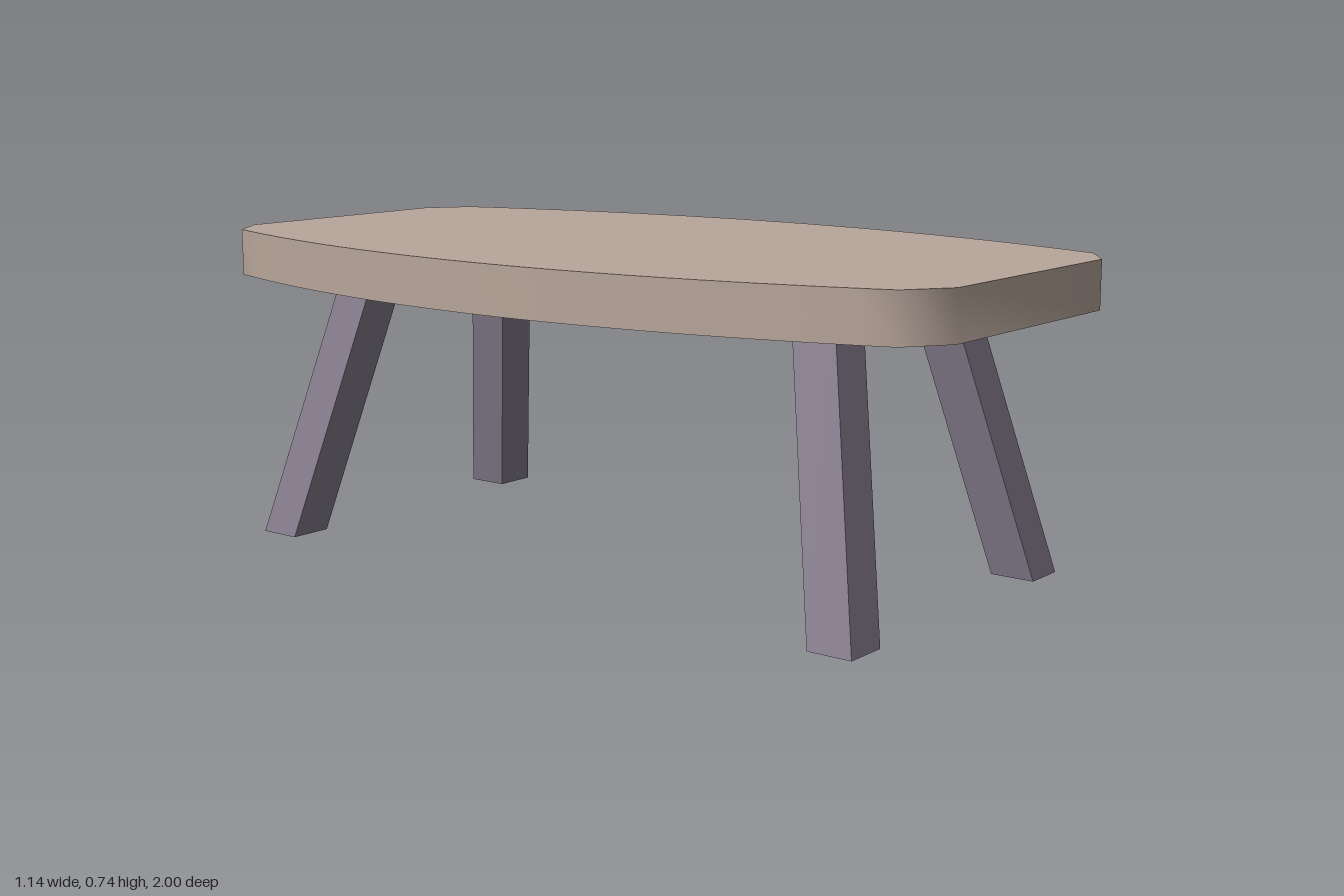
import * as THREE from 'three';
import { toCreasedNormals } from 'three/addons/utils/BufferGeometryUtils.js';

const UNDERSIDE = 0.628, TOP = 0.738;

function createTop(material) {
  // Outline with bowed long sides and clipped corners
  const outline = new THREE.Shape();
  outline.moveTo(-0.305, -1);
  outline.lineTo(0.305, -1);
  outline.lineTo(0.405, -0.93);
  outline.quadraticCurveTo(0.735, 0, 0.405, 0.93);
  outline.lineTo(0.305, 1);
  outline.lineTo(-0.305, 1);
  outline.lineTo(-0.405, 0.93);
  outline.quadraticCurveTo(-0.735, 0, -0.405, -0.93);
  outline.closePath();

  const slab = new THREE.ExtrudeGeometry(outline, {
    depth: TOP - UNDERSIDE, bevelEnabled: false, curveSegments: 24,
  });
  slab.rotateX(-Math.PI / 2).translate(0, UNDERSIDE, 0);
  // Smooth rim, sharp top and bottom edges
  const top = new THREE.Mesh(toCreasedNormals(slab, THREE.MathUtils.degToRad(50)), material);
  top.name = 'tableTop';
  return top;
}

function createLeg(sx, sz, material) {
  // Square post leaning inward, with level ends
  const lean = 0.143 / UNDERSIDE;
  const post = new THREE.BoxGeometry(0.106, UNDERSIDE, 0.106);
  post.translate(0, UNDERSIDE / 2, 0);
  post.applyMatrix4(new THREE.Matrix4().makeShear(0, 0, -sx * lean, -sz * lean, 0, 0));
  post.translate(sx * 0.375, 0, sz * 0.802);
  const leg = new THREE.Mesh(post, material);
  leg.name = (sz > 0 ? 'front' : 'back') + (sx > 0 ? 'Left' : 'Right') + 'Leg';
  return leg;
}

export function createModel() {
  const topWood = new THREE.MeshStandardMaterial({ color: 0xb8a69b });
  topWood.name = 'pale taupe';
  const legWood = new THREE.MeshStandardMaterial({ color: 0x857c8d });
  legWood.name = 'muted purple grey';

  const table = new THREE.Group();
  table.name = 'table';
  table.add(createTop(topWood));
  for (const sx of [1, -1]) {
    for (const sz of [1, -1]) table.add(createLeg(sx, sz, legWood));
  }
  return table;
}
